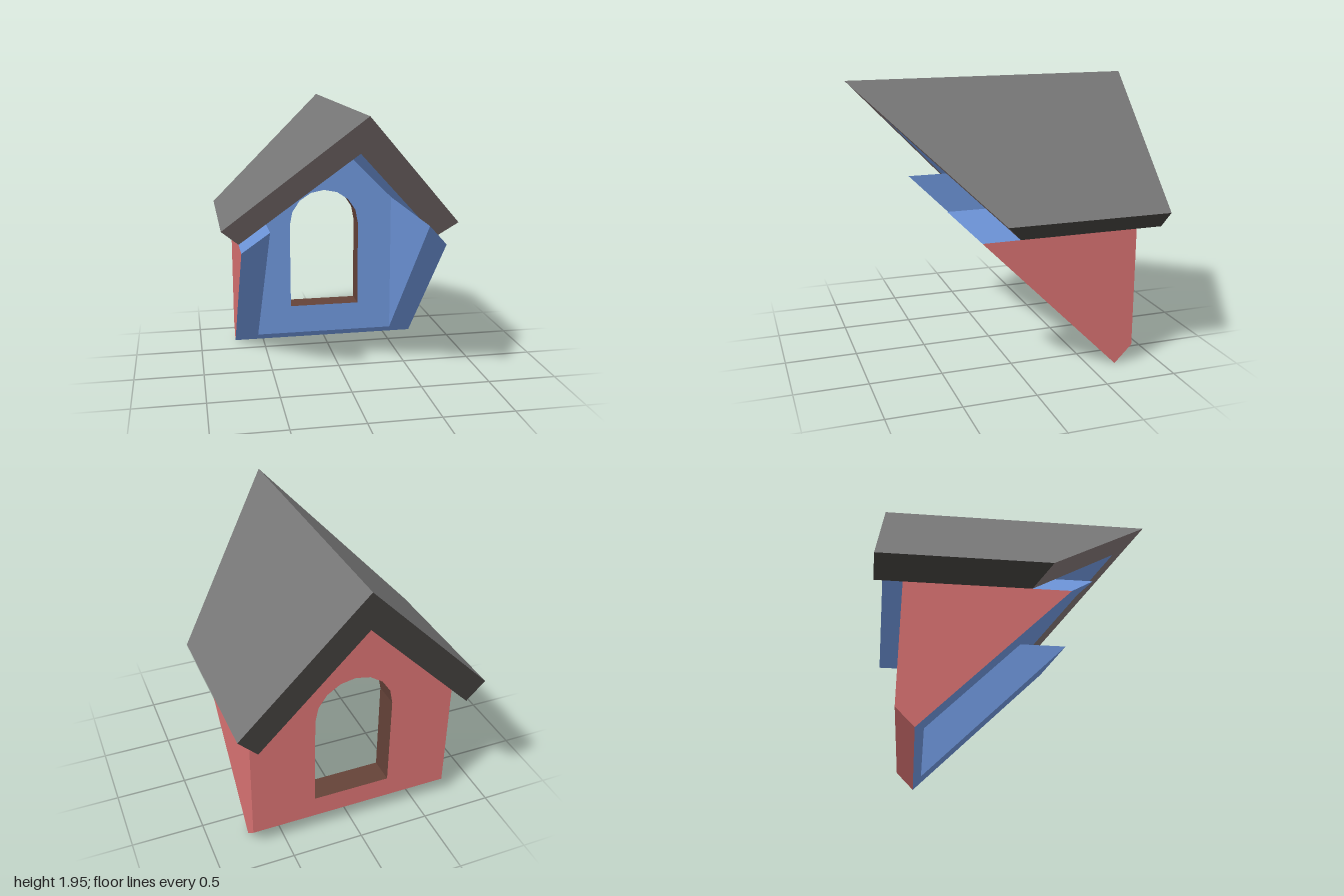
import * as THREE from 'three';
import { mergeGeometries } from 'three/addons/utils/BufferGeometryUtils.js';

const material = (name, color) => new THREE.MeshStandardMaterial({ name, color });

// Flat convex polygon, wound so that it faces along the hint direction
function face(points, hint) {
  const p = points.map((c) => new THREE.Vector3(...c));
  const n = p[1].clone().sub(p[0]).cross(p[2].clone().sub(p[0]));
  if (n.dot(new THREE.Vector3(...hint)) < 0) p.reverse();
  const tris = [];
  for (let i = 1; i < p.length - 1; i++) tris.push(p[0], p[i], p[i + 1]);
  const g = new THREE.BufferGeometry().setFromPoints(tris);
  g.computeVertexNormals();
  return g;
}

export function createModel() {
  const group = new THREE.Group();
  const red = material('red outside wall', 0xd77171);
  const blue = material('blue inside wall', 0x6c93d7);
  const brown = material('brown window reveal', 0x644238);
  const grey = material('grey roof', 0x767676);
  const dark = material('dark roof edge', 0x403d3b);
  const cutGrey = material('roof cut', 0x7d7272);

  const add = (name, geometries, mat) => {
    const mesh = new THREE.Mesh(mergeGeometries(geometries), mat);
    mesh.name = name;
    group.add(mesh);
  };
  // Build a set of faces for each side
  const both = (make) => [-1, 1].flatMap(make);

  const W = 0.725, I = 0.545;            // outer and inner half widths
  const BACK = -0.815, INNER = -0.635;   // back wall surfaces
  const under = (x) => 1.695 - x;        // roof underside height
  const wallCut = (x, y) => [x, y, y - 0.69];
  const roofCut = (x, y) => [x, y, y - 0.95];

  // Arched window opening, counter-clockwise
  const arch = [[-0.275, 0.28], [0.275, 0.28]];
  for (let i = 0; i <= 8; i++) {
    const a = (i / 8) * Math.PI;
    arch.push([0.275 * Math.cos(a), 0.95 + 0.275 * Math.sin(a)]);
  }
  const gable = (w, bottom, z) => {
    const v = (list) => list.map((c) => new THREE.Vector2(...c));
    const shape = new THREE.Shape(v([[-w, bottom], [w, bottom], [w, under(w)], [0, under(0)], [-w, under(w)]]));
    shape.holes.push(new THREE.Path(v(arch).reverse()));
    return new THREE.ShapeGeometry(shape).translate(0, 0, z);
  };

  // Back wall with window
  const backGable = gable(W, 0.125, 0).rotateY(Math.PI).translate(0, 0, BACK);
  add('backGable', [backGable], red);
  add('innerGable', [gable(I, 0.055, INNER)], blue);
  add('windowReveal', arch.slice(0, -1).map((a, i) => {
    const b = arch[i + 1];
    return face([[...a, BACK], [...b, BACK], [...b, INNER], [...a, INNER]],
      [-(a[0] + b[0]) / 2, 0.75 - (a[1] + b[1]) / 2, 0]);
  }).concat(face([[-0.275, 0.28, BACK], [-0.275, 0.95, BACK], [-0.275, 0.95, INNER], [-0.275, 0.28, INNER]], [1, 0, 0])), brown);

  // Side walls and bevelled bottom
  add('sideWallsOutside', both((s) => face(
    [wallCut(s * W, 0), [s * W, 0.125, BACK], [s * W, under(W), BACK], wallCut(s * W, under(W))], [s, 0, 0])), red);
  add('bottomBevel', [face([wallCut(-W, 0), wallCut(W, 0), [W, 0.125, BACK], [-W, 0.125, BACK]], [0, -1, -1])], red);
  add('sideWallsInside', both((s) => [
    face([wallCut(s * I, 0.055), [s * I, under(I), INNER], wallCut(s * I, under(I))], [-s, 0, 0]),
    face([wallCut(s * W, under(W)), wallCut(s * I, under(I)), [s * I, under(I), BACK], [s * W, under(W), BACK]], [s, 1, 0]),
  ]), blue);

  // Slanted front edge of the walls
  add('wallFrontEdge', [
    ...both((s) => face([wallCut(s * I, 0), wallCut(s * W, 0), wallCut(s * W, under(W)), wallCut(s * I, under(I))], [0, -1, 1])),
    face([wallCut(-I, 0), wallCut(I, 0), wallCut(I, 0.055), wallCut(-I, 0.055)], [0, -1, 1]),
  ], blue);

  // Pitched roof: [x, y] corners of one slope
  const ridge = [0, 1.95], eave = [0.8525, 1.0975], foot = [W, under(W)], peak = [0, under(0)];
  const strip = (a, b, s, hint) => face(
    [[s * a[0], a[1], -1], [s * b[0], b[1], -1], roofCut(s * b[0], b[1]), roofCut(s * a[0], a[1])], hint);
  const profile = [ridge, eave, foot, peak];
  add('roofTop', both((s) => strip(ridge, eave, s, [s, 1, 0])), grey);
  add('roofUnderside', both((s) => strip(peak, foot, s, [-s, -1, 0])), blue);
  add('roofEaves', both((s) => strip(eave, foot, s, [s, -1, 0])), dark);
  add('roofBackEdge', both((s) => face(profile.map(([x, y]) => [s * x, y, -1]), [0, 0, -1])), dark);
  add('roofFrontEdge', both((s) => face(profile.map(([x, y]) => roofCut(s * x, y)), [0, -1, 1])), cutGrey);

  return group;
}
